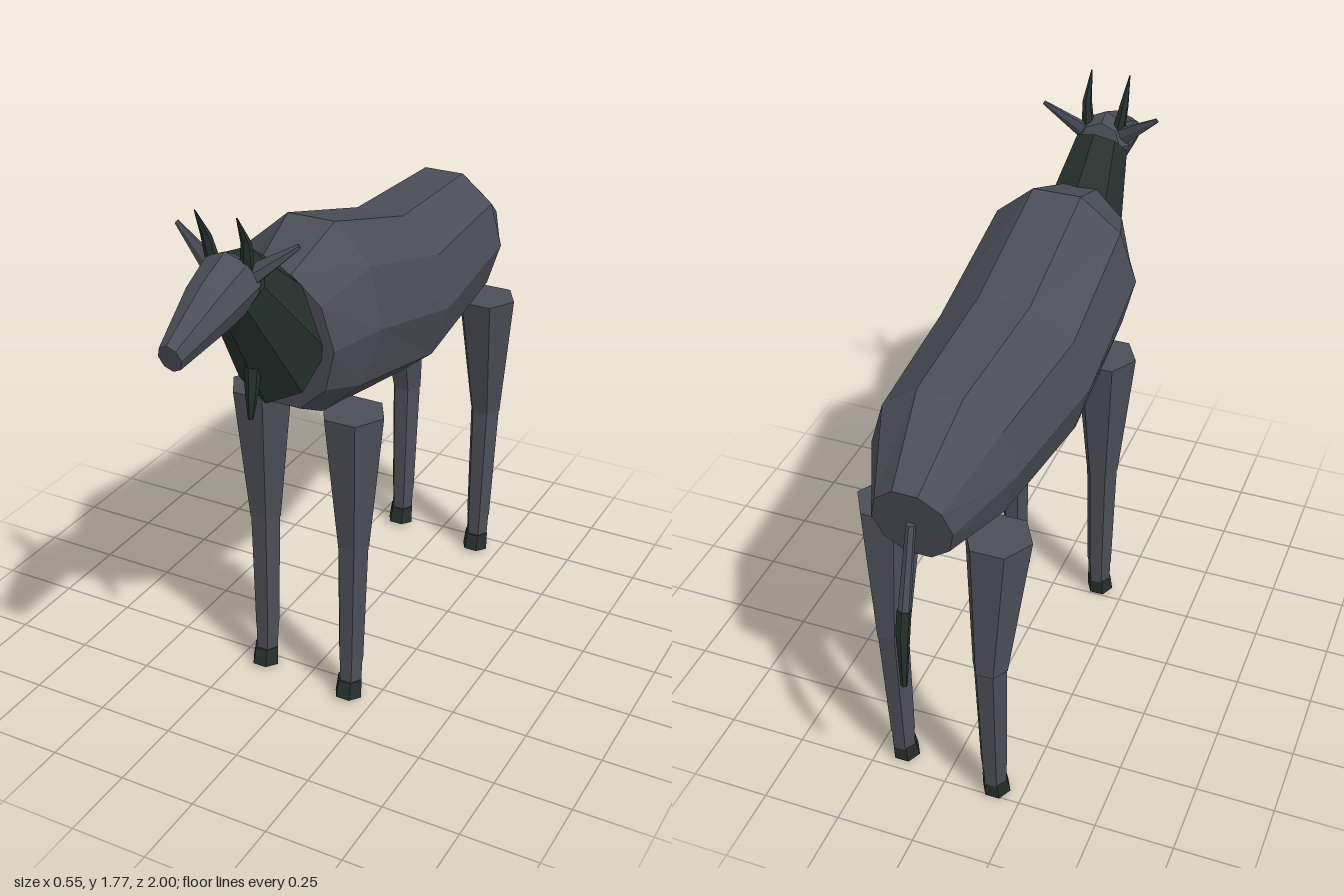
import * as THREE from 'three';

// Each station is [x, y, z, halfWidth, vy, vz]: a ring spanned by the x axis and the vector (0, vy, vz).
function loft(stations, sides, phase = 0) {
  const rings = stations.map(([x, y, z, w, vy, vz]) =>
    Array.from({ length: sides }, (_, k) => {
      const a = phase + (k / sides) * Math.PI * 2;
      const s = Math.sin(a), c = Math.cos(a);
      return [x + w * s, y + vy * c, z + vz * c];
    }));
  const pos = [];
  const tri = (a, b, c) => pos.push(...a, ...b, ...c);
  for (let i = 0; i < rings.length - 1; i++) {
    for (let k = 0; k < sides; k++) {
      const n = (k + 1) % sides;
      const [a, b, c, d] = [rings[i][k], rings[i][n], rings[i + 1][n], rings[i + 1][k]];
      tri(a, b, c);
      tri(a, c, d);
    }
  }
  // end caps
  const first = rings[0], last = rings[rings.length - 1];
  for (let k = 1; k < sides - 1; k++) {
    tri(first[0], first[k + 1], first[k]);
    tri(last[0], last[k], last[k + 1]);
  }
  const g = new THREE.BufferGeometry();
  g.setAttribute('position', new THREE.Float32BufferAttribute(pos, 3));
  g.computeVertexNormals();
  return g;
}

export function createModel() {
  const model = new THREE.Group();
  model.name = 'antelope';
  const hide = new THREE.MeshStandardMaterial({ color: 0x4b4e56, flatShading: true });
  hide.name = 'slate hide';
  const dark = new THREE.MeshStandardMaterial({ color: 0x26302d, flatShading: true });
  dark.name = 'dark green black';

  const add = (name, geometry, material, parent = model) => {
    const mesh = new THREE.Mesh(geometry, material);
    mesh.name = name;
    parent.add(mesh);
    return mesh;
  };

  // Body, chest to rump, ten sides with a flat back
  add('body', loft([
    [0, 1.29, 0.44, 0.18, 0.23, 0.02],
    [0, 1.31, 0.285, 0.25, 0.30, -0.045],
    [0, 1.20, -0.17, 0.258, 0.276, -0.03],
    [0, 1.225, -0.66, 0.22, 0.236, -0.01],
    [0, 1.16, -0.885, 0.12, 0.137, -0.037],
  ], 10, Math.PI / 10), hide);

  // Neck, head end to base
  add('neck', loft([
    [0, 1.555, 0.66, 0.09, 0.075, -0.07],
    [0, 1.28, 0.42, 0.148, 0.16, -0.10],
  ], 8), dark);

  // Beard hanging from the throat
  add('beard', loft([
    [0, 1.27, 0.585, 0.025, 0, -0.025],
    [0, 1.19, 0.595, 0.02, 0, -0.018],
    [0, 1.11, 0.605, 0.008, 0, -0.008],
  ], 6), dark);

  // Head, muzzle to crown
  add('head', loft([
    [0, 1.463, 0.987, 0.036, 0.042, 0.013],
    [0, 1.53, 0.80, 0.076, 0.078, 0.025],
    [0, 1.565, 0.68, 0.09, 0.092, 0.028],
    [0, 1.57, 0.645, 0.07, 0.065, 0.02],
  ], 8), hide);

  // Legs; the +x pair stands slightly further forward
  const leg = (name, side, x, shift, zTop, zKnee, zAnkle) => {
    const group = new THREE.Group();
    group.name = name;
    model.add(group);
    const at = (cx, y, z, r, tilt = 0) => [side * cx, y, z + shift, r, tilt, -r];
    const hex = Math.PI / 6;
    add('upperLeg', loft([at(x, 1.03, zTop, 0.102), at(0.165, 0.575, zKnee, 0.055)], 6, hex), hide, group);
    add('lowerLeg', loft([at(0.165, 0.585, zKnee, 0.053), at(0.163, 0.15, zAnkle, 0.043)], 6, hex), hide, group);
    add('pastern', loft([at(0.163, 0.16, zAnkle, 0.041), at(0.163, 0.07, zAnkle + 0.005, 0.039)], 6, hex), hide, group);
    add('hoof', loft([
      at(0.163, 0.075, zAnkle + 0.008, 0.042),
      at(0.163, 0.015, zAnkle + 0.02, 0.046, -0.006),
    ], 6, hex), dark, group);
  };

  for (const side of [1, -1]) {
    const tag = side > 0 ? 'left' : 'right';
    leg(tag + 'FrontLeg', side, 0.165, side * 0.015, 0.28, 0.28, 0.29);
    leg(tag + 'HindLeg', side, 0.175, side * 0.02, -0.68, -0.735, -0.715);

    // Horn, tip leaning forward
    add(tag + 'Horn', loft([
      [side * 0.064, 1.775, 0.746, 0.002, 0, -0.002],
      [side * 0.062, 1.69, 0.70, 0.015, 0, -0.015],
      [side * 0.05, 1.59, 0.68, 0.023, 0, -0.02],
    ].reverse(), 6).rotateX(0), dark);

    // Ear, a flattened cone pointing out and up
    const from = new THREE.Vector3(side * 0.06, 1.59, 0.68);
    const to = new THREE.Vector3(side * 0.19, 1.685, 0.645);
    const dir = to.clone().sub(from);
    const ear = add(tag + 'Ear', new THREE.CylinderGeometry(0.008, 0.032, dir.length(), 6), hide);
    ear.scale.z = 0.5;
    ear.quaternion.setFromUnitVectors(new THREE.Vector3(0, 1, 0), dir.normalize());
    ear.position.copy(from).lerp(to, 0.5);
  }

  // Horn rings run upward, so turn their faces outward
  for (const mesh of model.children.filter((m) => m.name.endsWith('Horn'))) {
    const p = mesh.geometry.attributes.position;
    for (let i = 0; i < p.count; i += 3) {
      const b = [p.getX(i + 1), p.getY(i + 1), p.getZ(i + 1)];
      p.setXYZ(i + 1, p.getX(i + 2), p.getY(i + 2), p.getZ(i + 2));
      p.setXYZ(i + 2, ...b);
    }
    mesh.geometry.computeVertexNormals();
  }

  // Tail with a dark tuft
  add('tail', loft([
    [0, 1.17, -0.89, 0.014, 0, -0.016],
    [0, 0.88, -0.972, 0.02, 0, -0.015],
  ], 6), hide);
  add('tailTuft', loft([
    [0, 0.92, -0.962, 0.022, 0, -0.016],
    [0, 0.85, -0.978, 0.022, 0, -0.016],
    [0, 0.66, -0.99, 0.01, 0, -0.01],
  ], 6), dark);

  return model;
}
